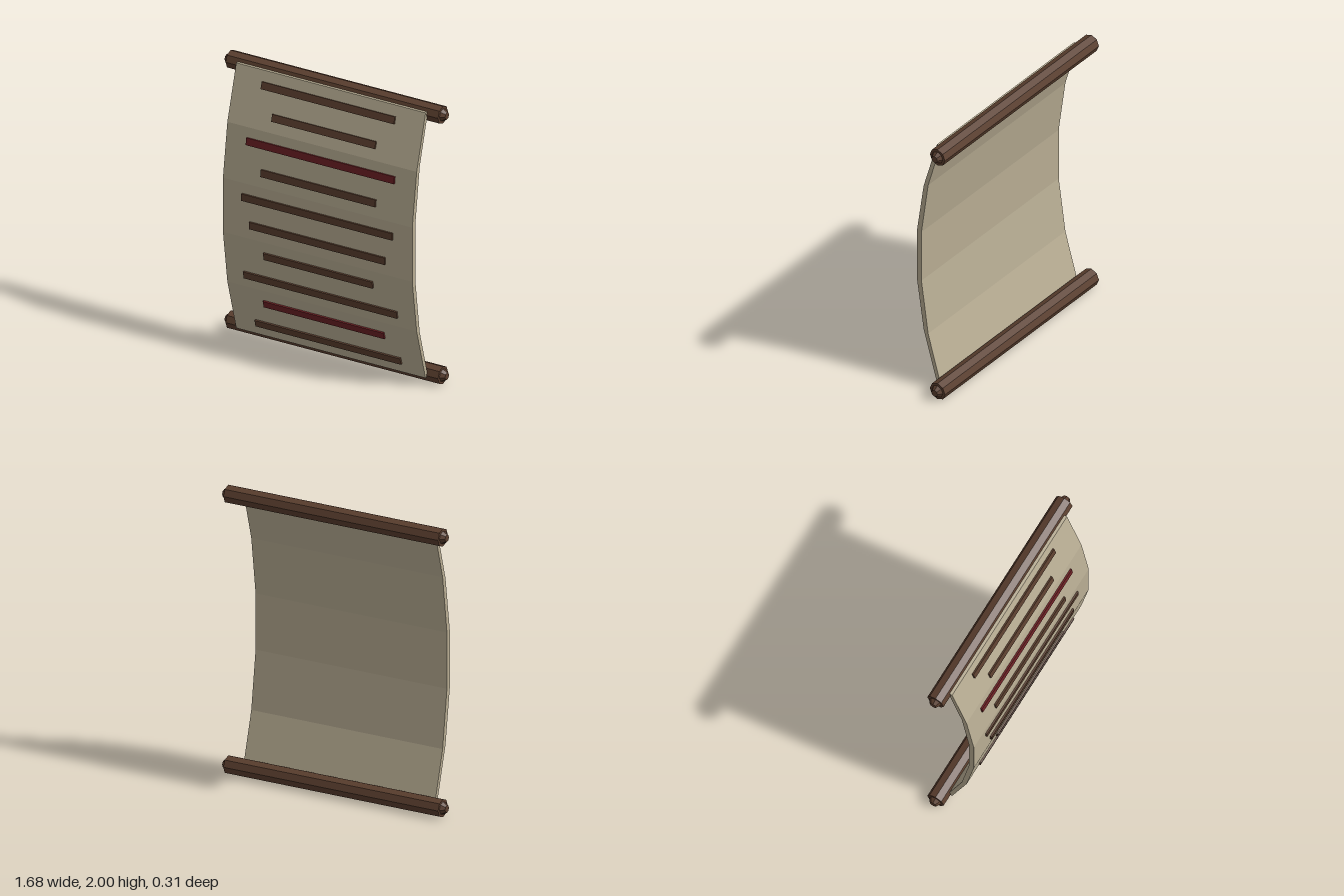
import * as THREE from 'three';

const material = (name, color) => {
  const m = new THREE.MeshStandardMaterial({ color, flatShading: true });
  m.name = name;
  return m;
};

// Front face of the bowed sheet as [z, y], bottom to top, and its back face
const FRONT = [[-0.02, 0.05], [0.09, 0.43], [0.145, 0.81], [0.145, 1.2], [0.09, 1.58], [-0.02, 1.96]];
const BACK = [[-0.05, 0.05], [0.053, 0.41], [0.108, 0.81], [0.108, 1.2], [0.053, 1.6], [-0.05, 1.96]];

// Depth and slope of the front face at height y
function surfaceAt(y) {
  let i = 0;
  while (i < FRONT.length - 2 && y > FRONT[i + 1][1]) i++;
  const [z0, y0] = FRONT[i], [z1, y1] = FRONT[i + 1];
  const slope = (z1 - z0) / (y1 - y0);
  return { z: z0 + slope * (y - y0), tilt: Math.atan(slope) };
}

export function createModel() {
  const group = new THREE.Group();
  group.name = 'hangingScroll';
  const paper = material('parchment', 0xb9ae94);
  const wood = material('dark wood', 0x5a3e2e);
  const red = material('dark red', 0x6c2024);

  const add = (name, geometry, mat, parent = group) => {
    const mesh = new THREE.Mesh(geometry, mat);
    mesh.name = name;
    parent.add(mesh);
    return mesh;
  };

  // Bowed sheet: side profile extruded across the width
  const profile = new THREE.Shape([...FRONT, ...[...BACK].reverse()].map(([z, y]) => new THREE.Vector2(z, y)));
  const sheetGeometry = new THREE.ExtrudeGeometry(profile, { depth: 1.444, bevelEnabled: false });
  sheetGeometry.translate(0, 0, -0.722).rotateY(-Math.PI / 2);
  // The turn maps the profile's x to +z
  add('sheet', sheetGeometry, paper);

  // Octagonal rollers with tapered end knobs
  for (const [name, y] of [['bottomRoller', 0.0625], ['topRoller', 1.9375]]) {
    const roller = new THREE.Group();
    roller.name = name;
    roller.position.set(0, y, -0.093);
    group.add(roller);
    add('rod', new THREE.CylinderGeometry(0.0625, 0.0625, 1.62, 8).rotateZ(Math.PI / 2), wood, roller);
    for (const side of [-1, 1]) {
      const knob = add('endKnob', new THREE.CylinderGeometry(0.025, 0.045, 0.032, 8).rotateZ(-side * Math.PI / 2), wood, roller);
      knob.position.x = side * 0.825;
    }
  }

  // Raised line bars following the curve: [height, half width, red?]
  const lines = [
    [1.865, 0.508], [1.68, 0.395], [1.487, 0.565, true], [1.3, 0.437], [1.1, 0.575],
    [0.91, 0.517], [0.707, 0.416], [0.522, 0.585], [0.325, 0.46, true], [0.143, 0.555],
  ];
  for (const [y, half, isRed] of lines) {
    const { z, tilt } = surfaceAt(y);
    const bar = add(isRed ? 'redLine' : 'woodLine', new THREE.BoxGeometry(half * 2, 0.05, 0.015), isRed ? red : wood);
    bar.position.set(0, y, z + 0.005);
    bar.rotation.x = tilt;
  }
  return group;
}
